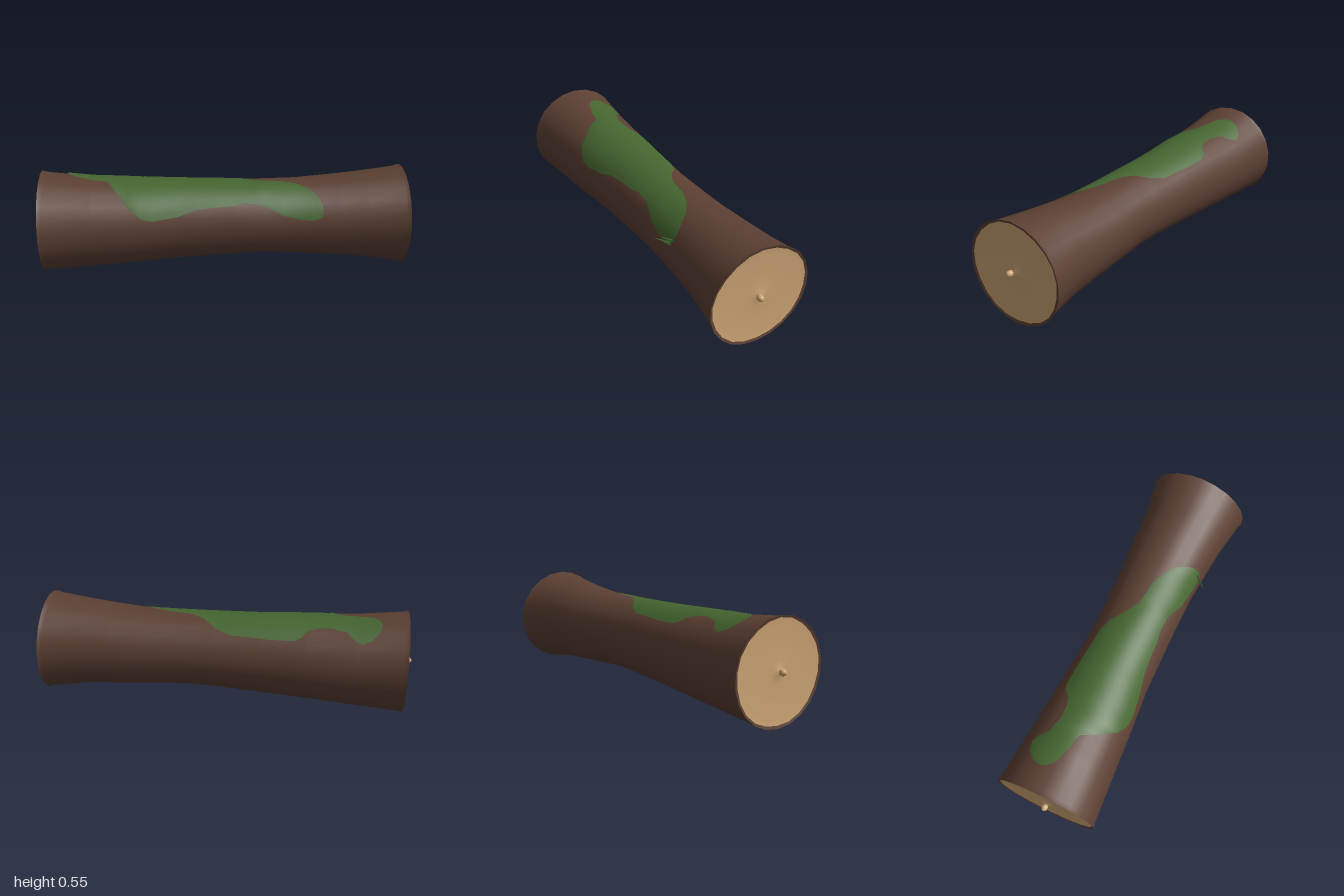
import * as THREE from 'three';
import { mergeVertices } from 'three/addons/utils/BufferGeometryUtils.js';

// log cross-sections: x, top y, bottom y, back z, front z
const STATIONS = [
  [-0.965, 0.547, 0.012, -0.274, 0.274], [-0.94, 0.54, 0.015, -0.269, 0.269],
  [-0.7, 0.512, 0.03, -0.25, 0.25], [-0.45, 0.499, 0.045, -0.232, 0.232],
  [-0.2, 0.487, 0.06, -0.215, 0.211], [0.05, 0.479, 0.073, -0.205, 0.206],
  [0.2, 0.477, 0.079, -0.209, 0.205], [0.4, 0.477, 0.067, -0.219, 0.206],
  [0.6, 0.493, 0.053, -0.232, 0.222], [0.75, 0.508, 0.041, -0.242, 0.237],
  [0.94, 0.53, 0.012, -0.268, 0.268], [0.965, 0.538, 0.002, -0.277, 0.277],
];

// moss outline: x, back angle, front angle (degrees from the top, + to the front)
const MOSS = [
  [-0.827, -20, -14], [-0.815, -28, -9], [-0.78, -39, -2], [-0.73, -44, 1], [-0.69, -39, 4],
  [-0.65, -28, 5], [-0.61, -26, 8], [-0.57, -23, 25], [-0.5, -24, 51],
  [-0.45, -29, 62], [-0.42, -39, 66], [-0.38, -44, 68], [-0.25, -44, 63],
  [-0.15, -42, 54], [-0.05, -41, 51], [0.03, -32, 50], [0.1, -14, 46],
  [0.16, -4, 47], [0.2, -1, 50], [0.3, 3, 65], [0.38, 11, 70],
  [0.45, 24, 73], [0.49, 39, 71], [0.508, 50, 67], [0.513, 57, 62],
];

// point on the log at x and angle t; offset lifts it off the bark
function logPoint(x, t, offset = 0) {
  let i = 0;
  while (i < STATIONS.length - 2 && x > STATIONS[i + 1][0]) i++;
  const a = STATIONS[i], b = STATIONS[i + 1];
  const k = (x - a[0]) / (b[0] - a[0]);
  const [, top, bottom, back, front] = a.map((v, j) => v + (b[j] - v) * k);
  const ry = (top - bottom) / 2 + offset, rz = (front - back) / 2 + offset;
  return [x, (top + bottom) / 2 + ry * Math.cos(t), (front + back) / 2 + rz * Math.sin(t)];
}

// smooth surface through rows x cols points given by a function
function grid(rows, cols, point) {
  const pos = [], idx = [];
  for (let i = 0; i <= rows; i++) for (let j = 0; j <= cols; j++) pos.push(...point(i, j));
  for (let i = 0; i < rows; i++) for (let j = 0; j < cols; j++) {
    const a = i * (cols + 1) + j, b = a + cols + 1;
    idx.push(a, a + 1, b, a + 1, b + 1, b);
  }
  let g = new THREE.BufferGeometry();
  g.setAttribute('position', new THREE.Float32BufferAttribute(pos, 3));
  g.setIndex(idx);
  g = mergeVertices(g, 1e-5);
  g.computeVertexNormals();
  return g;
}

export function createModel() {
  const model = new THREE.Group();
  model.name = 'mossyLog';
  const mat = (name, color, extra = {}) => {
    const m = new THREE.MeshStandardMaterial({ color, ...extra });
    m.name = name;
    return m;
  };
  const bark = mat('bark brown', 0x5c4033);
  const wood = mat('cut wood tan', 0xcfa776);
  const green = mat('moss green', 0x456630, { side: THREE.DoubleSide });

  const add = (name, geometry, material, parent = model) => {
    const mesh = new THREE.Mesh(geometry, material);
    mesh.name = name;
    parent.add(mesh);
    return mesh;
  };

  const SIDES = 22;
  const angle = (j) => ((j % SIDES) / SIDES) * Math.PI * 2;

  // waisted bark trunk
  add('trunk', grid(STATIONS.length - 1, SIDES, (i, j) => logPoint(STATIONS[i][0], angle(j))), bark);

  // both ends: bark rim, slightly dished cut face, small heart knob
  for (const side of [1, -1]) {
    const end = new THREE.Group();
    end.name = side > 0 ? 'leftEnd' : 'rightEnd';
    model.add(end);
    const cy = side > 0 ? 0.27 : 0.2795;
    const disc = (rings) => {
      const list = side > 0 ? rings : [...rings].reverse();
      return grid(list.length - 1, SIDES, (i, j) => {
        const [x, s, wobble] = list[i], t = angle(j);
        const [, y, z] = logPoint(side * 0.965, t);
        const k = s * (1 + wobble * Math.sin(5 * t + 1));
        return [side * x, cy + (y - cy) * k, z * k];
      });
    };
    add('barkRim', disc([[0.965, 1, 0], [0.961, 0.95, 0.008]]), bark, end);
    add('cutFace', disc([[0.961, 0.95, 0.008], [0.958, 0.85, 0], [0.956, 0.5, 0],
      [0.954, 0.2, 0], [0.966, 0.04, 0], [0.966, 0, 0]]), wood, end);
    const knob = add('heartKnob', new THREE.SphereGeometry(0.017, 10, 8), wood, end);
    knob.scale.x = 1.25;
    knob.position.set(side * 0.97875, cy + 0.003, side > 0 ? 0.011 : 0.004);
  }

  // moss blanket draped over the top and front
  const COLS = 14;
  add('moss', grid(MOSS.length - 1, COLS, (i, j) => {
    const [x, back, front] = MOSS[i];
    const t = THREE.MathUtils.degToRad(back + (front - back) * j / COLS);
    return logPoint(x, t, 0.004);
  }), green);

  // tiny curled moss tips at the lower corner
  const up = new THREE.Vector3(0, 1, 0);
  const tips = [
    [0.505, 0.352, 0.185, 0.43, 0.372, 0.262],
    [0.51, 0.368, 0.18, 0.452, 0.38, 0.235],
    [0.5, 0.342, 0.19, 0.468, 0.358, 0.228],
  ];
  for (const [x0, y0, z0, x1, y1, z1] of tips) {
    const a = new THREE.Vector3(x0, y0, z0), d = new THREE.Vector3(x1, y1, z1).sub(a);
    const tip = add('mossTip', new THREE.ConeGeometry(0.008, d.length(), 5), green);
    tip.position.copy(a).addScaledVector(d, 0.5);
    tip.quaternion.setFromUnitVectors(up, d.normalize());
  }
  return model;
}
